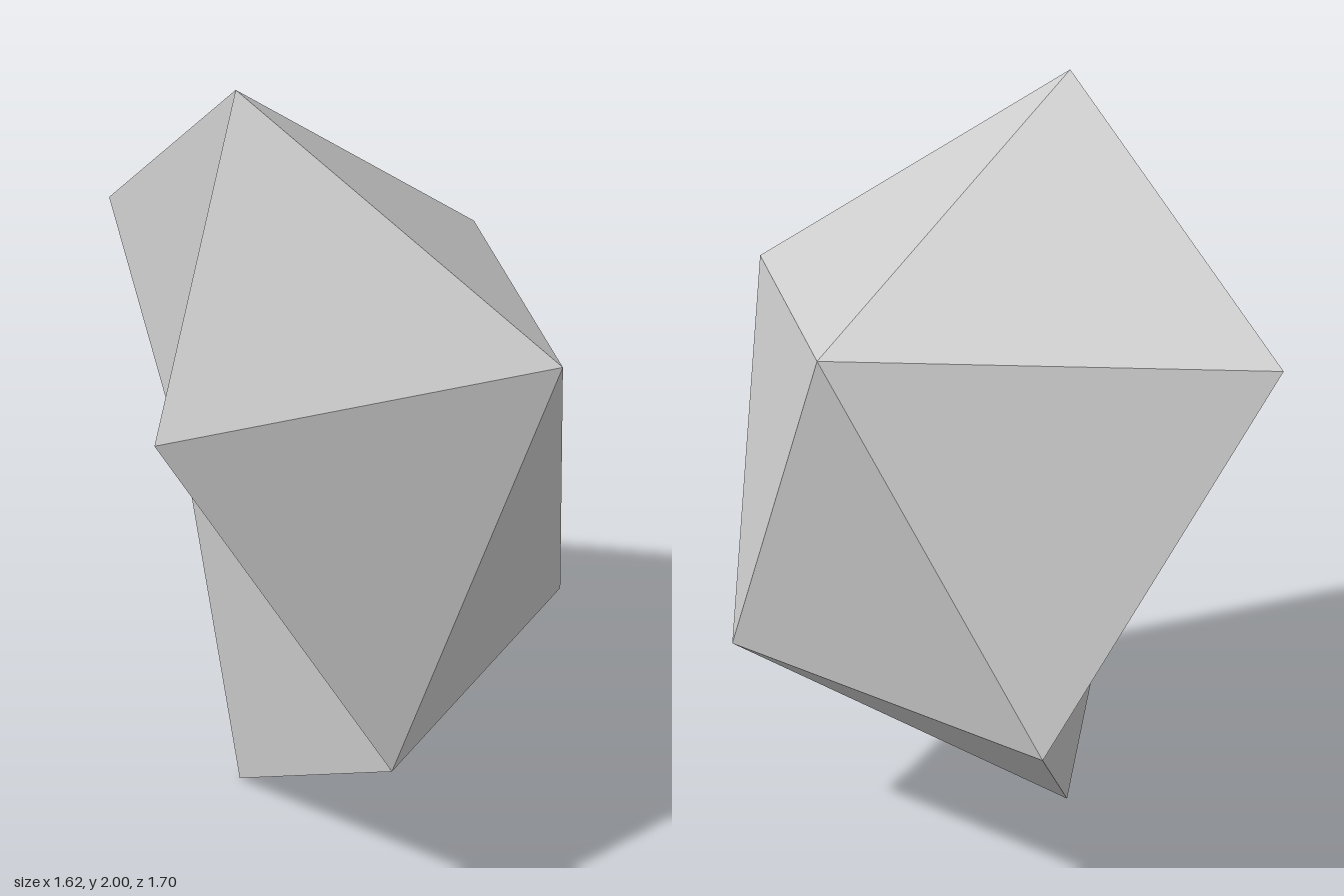
import * as THREE from 'three';

// Low-poly stone: an icosahedron with three corners of one face pulled inward to a single point.
export function createModel() {
  const group = new THREE.Group();
  group.name = 'notchedStone';
  const stoneGrey = new THREE.MeshStandardMaterial({ color: 0xcccccc });
  stoneGrey.name = 'stoneGrey';

  const cx = -0.09, ringRadius = 2 / Math.sqrt(5), ringHeight = 1 / Math.sqrt(5);
  const ring = (y, offset) => Array.from({ length: 5 }, (_, k) => {
    const a = (k * 72 + offset) * Math.PI / 180;
    return new THREE.Vector3(cx + ringRadius * Math.cos(a), y, ringRadius * Math.sin(a));
  });
  const top = new THREE.Vector3(cx, 2, 0);
  const bottom = new THREE.Vector3(cx, 0, 0);
  const upper = ring(1 + ringHeight, 0);
  const lower = ring(1 - ringHeight, 36);

  // Inner point of the notch replaces three corners
  const notch = new THREE.Vector3(-0.267, 0.881, -0.04);
  upper[2] = lower[1] = lower[2] = notch;

  const points = [];
  const face = (a, b, c) => {
    if (a !== b && b !== c && c !== a) points.push(a, b, c); // skip collapsed faces
  };
  for (let k = 0; k < 5; k++) {
    const n = (k + 1) % 5;
    face(top, upper[n], upper[k]);
    face(upper[k], upper[n], lower[k]);
    face(lower[k], upper[n], lower[n]);
    face(bottom, lower[k], lower[n]);
  }

  // Unshared corners give flat facets
  const geometry = new THREE.BufferGeometry().setFromPoints(points);
  geometry.computeVertexNormals();
  const stone = new THREE.Mesh(geometry, stoneGrey);
  stone.name = 'stone';
  group.add(stone);
  return group;
}
